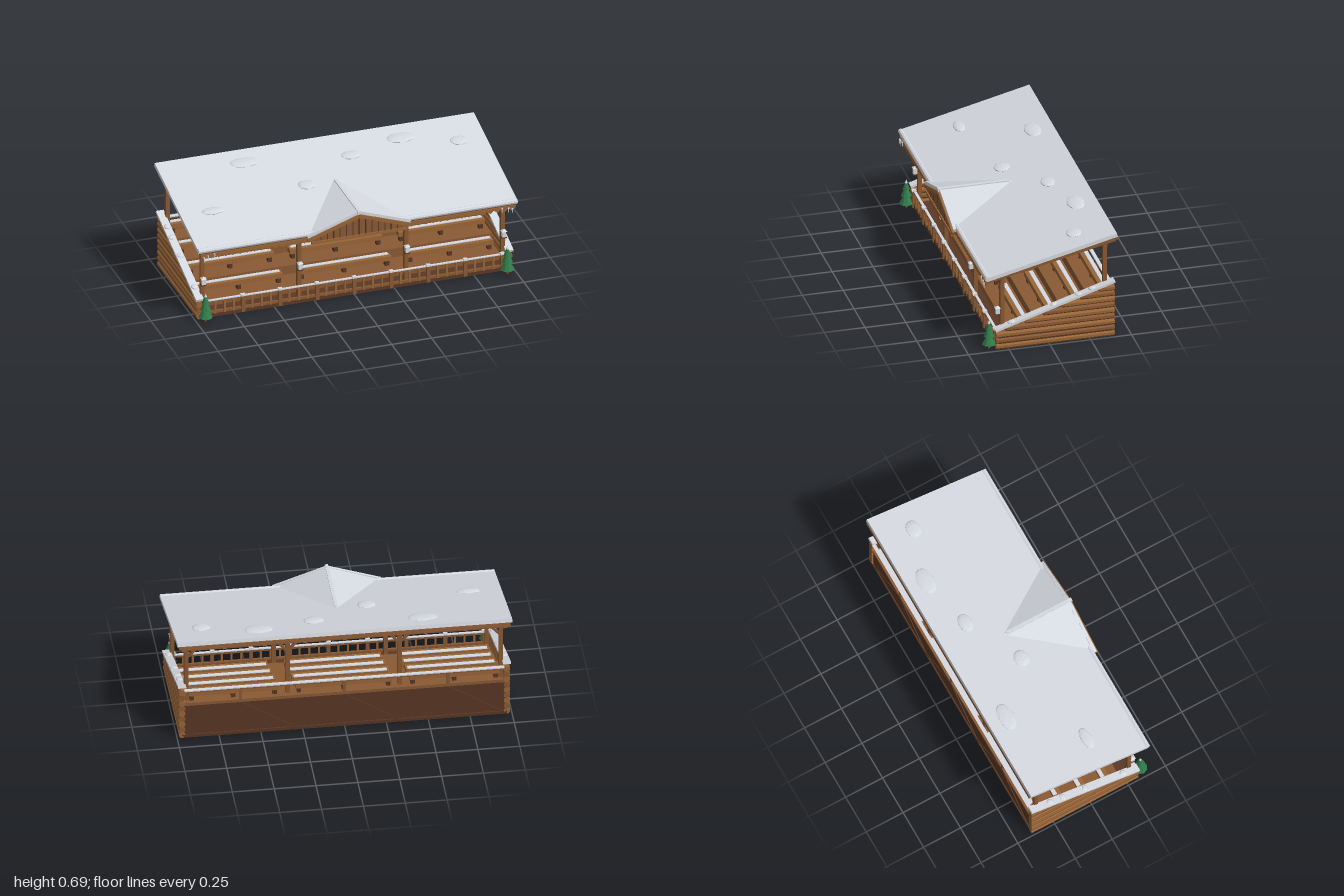
import * as THREE from 'three';

const mat = (name, color) => {
  const m = new THREE.MeshStandardMaterial({ color, flatShading: true });
  m.name = name;
  return m;
};

export function createModel() {
  const root = new THREE.Group();
  root.name = 'grandstand';
  const wood = mat('wood', 0x8a5a34);
  const lightWood = mat('lightWood', 0x9a6638);
  const darkWood = mat('darkWood', 0x5a3826);
  const snow = mat('snow', 0xd6dae1);
  const green = mat('green', 0x2f7a4a);

  const add = (name, geo, m, x = 0, y = 0, z = 0, parent = root) => {
    const mesh = new THREE.Mesh(geo, m);
    mesh.name = name;
    mesh.position.set(x, y, z);
    parent.add(mesh);
    return mesh;
  };
  const box = (name, m, w, h, d, x, y, z) => add(name, new THREE.BoxGeometry(w, h, d), m, x, y, z);
  // Square bar running from point a to point b
  const beam = (name, m, a, b, w, h) => {
    const p = new THREE.Vector3(...a), q = new THREE.Vector3(...b);
    const mid = p.clone().add(q).multiplyScalar(0.5);
    const mesh = box(name, m, w, h, p.distanceTo(q), mid.x, mid.y, mid.z);
    mesh.lookAt(q);
    return mesh;
  };
  // Faceted flat heap of snow
  const lump = (x, y, z, rx, ry, rz, tilt, turn) => {
    const mesh = add('snowLump', new THREE.IcosahedronGeometry(1, 1), snow, x, y, z);
    mesh.scale.set(rx, ry, rz);
    mesh.rotation.set(tilt, turn, 0);
  };

  // Base, stepped tiers and back panel
  box('floor', darkWood, 1.94, 0.02, 0.72, 0, 0.01, -0.04);
  const tierFront = [0.22, 0.06, -0.1, -0.26];
  tierFront.forEach((z, i) => {
    const top = 0.06 * (i + 1);
    const next = i < 3 ? tierFront[i + 1] - 0.02 : -0.385;
    box('tierTread', wood, 1.92, 0.012, z - next, 0, top - 0.006, (z + next) / 2);
    box('tierRiser', wood, 1.92, 0.05, 0.012, 0, top - 0.035, z - 0.01);
    // Benches in three bays
    for (const [cx, len] of [[-0.66, 0.54], [0, 0.58], [0.66, 0.54]]) {
      const bz = z - 0.09;
      box('benchSeat', lightWood, len, 0.03, 0.05, cx, top + 0.05, bz);
      box('benchSnow', snow, len * 0.96, 0.006, 0.025, cx, top + 0.067, bz - 0.012);
      for (const s of [-0.46, 0, 0.46])
        box('benchLeg', darkWood, 0.025, 0.04, 0.03, cx + s * len, top + 0.018, bz);
    }
  });
  box('backPanel', darkWood, 1.92, 0.24, 0.015, 0, 0.12, -0.385);
  for (let i = 0; i < 6; i++) {
    const x = -0.93 + i * 0.31, up = i % 2 === 0;
    beam('backBrace', darkWood, [x, up ? 0.02 : 0.22, -0.394], [x + 0.31, up ? 0.22 : 0.02, -0.394], 0.008, 0.014);
  }
  box('backSill', wood, 1.92, 0.02, 0.02, 0, 0.235, -0.388);
  box('backRail', wood, 1.92, 0.01, 0.018, 0, 0.32, -0.388);
  box('backRailSnow', snow, 1.92, 0.007, 0.022, 0, 0.328, -0.388);
  for (const x of [-0.62, 0, 0.62]) box('backRailPost', wood, 0.018, 0.08, 0.018, x, 0.28, -0.388);

  // Log side walls with sloping snow caps
  for (const s of [-1, 1]) {
    const x = s * 0.97;
    for (let i = 0; i < 9; i++) {
      const y = 0.0188 + i * 0.0375;
      const front = Math.min(0.325, 0.325 - (y + 0.01 - 0.12) / 0.33);
      const log = add('wallLog', new THREE.CylinderGeometry(0.02, 0.02, front + 0.4, 8), i % 2 ? wood : lightWood, x, y, (front - 0.4) / 2);
      log.rotation.set(Math.PI / 2, Math.PI / 8, 0);
      log.scale.y = 1;
    }
    box('wallCore', darkWood, 0.02, 0.11, 0.7, x, 0.055, -0.04);
    beam('wallSnow', snow, [x, 0.128, 0.33], [x, 0.364, -0.402], 0.048, 0.015);
    [[0.23, 0.17], [-0.03, 0.252], [-0.18, 0.3], [-0.265, 0.329]].forEach(([z, y], i) =>
      lump(x, y, z, 0.02, 0.009, 0.024, 0.2, i));
  }

  // Front fence
  for (const y of [0.03, 0.098]) box('fenceRail', wood, 1.9, 0.014, 0.014, 0, y, 0.312);
  box('fenceSnow', snow, 1.88, 0.006, 0.016, 0, 0.108, 0.312);
  for (let i = 0; i <= 32; i++) {
    const x = -0.928 + i * 0.058, main = i % 4 === 0;
    const w = main ? 0.022 : 0.012, h = main ? 0.105 : 0.08;
    box('fencePicket', main ? wood : lightWood, w, h, w, x, main ? 0.0575 : 0.062, 0.318);
    if (main) box('fencePostSnow', snow, 0.026, 0.01, 0.026, x, 0.115, 0.318);
  }

  // Roof posts, braces and lanterns
  for (const px of [-0.94, -0.335, 0.335, 0.94]) {
    for (const [z, y0, y1] of [[0.28, 0.02, 0.465], [-0.35, 0.22, 0.61]]) {
      box('roofPost', wood, 0.025, y1 - y0, 0.025, px, (y0 + y1) / 2, z);
      for (const s of [-1, 1])
        if (Math.abs(px + s * 0.06) < 0.95)
          beam('postBrace', wood, [px, y1 - 0.075, z], [px + s * 0.055, y1 - 0.015, z], 0.014, 0.014);
    }
    box('lanternBody', snow, 0.024, 0.036, 0.024, px, 0.238, 0.307);
    box('lanternBase', darkWood, 0.03, 0.006, 0.03, px, 0.217, 0.307);
    const cap = add('lanternCap', new THREE.ConeGeometry(0.024, 0.014, 4), snow, px, 0.264, 0.307);
    cap.rotation.y = Math.PI / 4;
  }
  box('frontBeam', wood, 1.94, 0.02, 0.022, 0, 0.455, 0.28);
  box('rearBeam', wood, 1.94, 0.02, 0.022, 0, 0.602, -0.35);

  // Sloping roof: rafters, deck, snow cover and rounded eave
  for (let i = 0; i < 9; i++) {
    const x = -0.96 + i * 0.24;
    beam('rafter', wood, [x, 0.447, 0.38], [x, 0.629, -0.41], 0.022, 0.015);
  }
  beam('roofDeck', wood, [0, 0.463, 0.385], [0, 0.651, -0.418], 1.98, 0.02);
  beam('roofSnow', snow, [0, 0.479, 0.387], [0, 0.675, -0.413], 2, 0.024);
  const eave = add('eaveSnow', new THREE.CylinderGeometry(0.016, 0.016, 1.996, 8), snow, 0, 0.484, 0.381);
  eave.rotation.z = Math.PI / 2;
  [[-0.48, -0.29, 0.09, 0.052], [0.5, -0.29, 0.087, 0.055], [0.83, -0.19, 0.056, 0.048],
    [0.16, -0.21, 0.062, 0.044], [-0.18, -0.02, 0.055, 0.05], [-0.8, 0.075, 0.072, 0.036]]
    .forEach(([x, z, rx, rz]) => lump(x, 0.495 + (0.39 - z) * 0.245, z, rx, 0.011, rz, 0.1, 0));

  // Saw-tooth trim below the eave
  const trim = new THREE.Shape();
  trim.moveTo(-0.985, 0.462);
  for (let i = 0; i < 44; i++) {
    const x = -0.985 + i * 1.97 / 44;
    trim.lineTo(x, 0.447);
    trim.lineTo(x + 0.985 / 44, 0.43);
  }
  trim.lineTo(0.985, 0.447);
  trim.lineTo(0.985, 0.462);
  add('eaveTrim', new THREE.ExtrudeGeometry(trim, { depth: 0.008, bevelEnabled: false }), lightWood, 0, 0, 0.383);

  // Icicles near the eave ends
  for (const s of [-1, 1])
    [0.9, 0.94, 0.965].forEach((x, i) => {
      const ice = add('icicle', new THREE.ConeGeometry(0.006, 0.04, 5), snow, s * x, 0.44 - i * 0.006, 0.395);
      ice.rotation.x = Math.PI;
    });

  // Snowy gable running back into the roof
  const A = [0, 0.598, 0.402], B = [0, 0.598, -0.04], L = [-0.31, 0.487, 0.402], R = [0.31, 0.487, 0.402];
  const gable = new THREE.BufferGeometry();
  gable.setAttribute('position', new THREE.Float32BufferAttribute([A, R, B, A, B, L, A, L, R].flat(), 3));
  gable.computeVertexNormals();
  add('gableSnow', gable, snow);
  box('ridgeSnow', snow, 0.02, 0.02, 0.44, 0, 0.591, 0.201);

  // Boarded gable front with battens and raking boards
  const face = new THREE.Shape();
  [[-0.3, 0.43], [0.3, 0.43], [0.3, 0.465], [0, 0.57], [-0.3, 0.465]].forEach(([x, y], i) =>
    i ? face.lineTo(x, y) : face.moveTo(x, y));
  add('gableFront', new THREE.ExtrudeGeometry(face, { depth: 0.008, bevelEnabled: false }), wood, 0, 0, 0.402);
  for (let i = -6; i <= 6; i++) {
    const x = i * 0.04, top = 0.555 - Math.abs(x) * 0.35;
    box('gableBatten', darkWood, 0.006, top - 0.445, 0.004, x, (top + 0.445) / 2, 0.411);
  }
  box('gableTie', lightWood, 0.6, 0.016, 0.012, 0, 0.437, 0.412);
  for (const s of [-1, 1]) {
    beam('rakeBoard', lightWood, [0, 0.569, 0.411], [s * 0.322, 0.458, 0.411], 0.018, 0.022);
    beam('rakeSnow', snow, [0, 0.588, 0.402], [s * 0.322, 0.477, 0.402], 0.018, 0.022);
  }

  // Small fir trees beside the front corners
  for (const s of [-1, 1]) {
    const tree = new THREE.Group();
    tree.name = 'firTree';
    tree.position.set(s * 0.945, 0, 0.36);
    root.add(tree);
    add('treeTrunk', new THREE.CylinderGeometry(0.006, 0.007, 0.04, 6), wood, 0, 0.02, 0, tree);
    for (const [r, y0, y1] of [[0.043, 0.028, 0.1], [0.033, 0.078, 0.145], [0.023, 0.12, 0.18]])
      add('treeFoliage', new THREE.ConeGeometry(r, y1 - y0, 8), green, 0, (y0 + y1) / 2, 0, tree);
    add('treeSnowTip', new THREE.ConeGeometry(0.009, 0.022, 8), snow, 0, 0.174, 0, tree);
  }
  return root;
}
